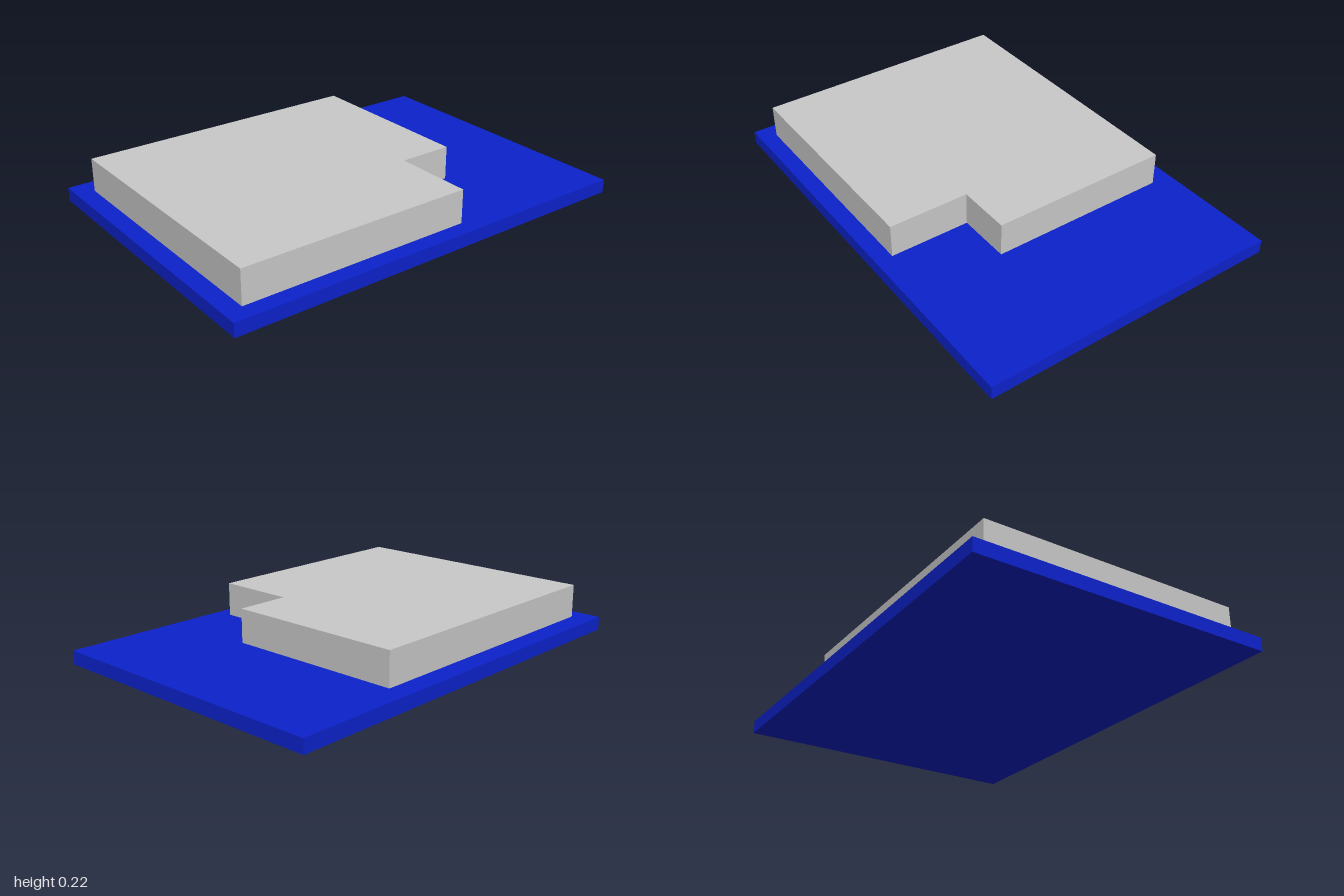
import * as THREE from 'three';

const BOARD_TOP = 0.063;
const BLOCK_TOP = 0.22;

export function createModel() {
  const model = new THREE.Group();
  model.name = 'model';

  const blue = new THREE.MeshStandardMaterial({ color: 0x0c22cc });
  blue.name = 'board blue';
  const grey = new THREE.MeshStandardMaterial({ color: 0xc9c9c9 });
  grey.name = 'block grey';

  // Flat rectangular board
  const board = new THREE.Mesh(new THREE.BoxGeometry(1.41, BOARD_TOP, 2), blue);
  board.name = 'baseBoard';
  board.position.y = BOARD_TOP / 2;
  model.add(board);

  // Block with its back left corner cut out; outline as [x, z]
  const outline = [
    [-0.605, 0.917], [0.627, 0.917], [0.627, -0.175],
    [0.25, -0.175], [0.25, -0.43], [-0.605, -0.43],
  ];
  const shape = new THREE.Shape(outline.map(([x, z]) => new THREE.Vector2(x, -z)));
  const geometry = new THREE.ExtrudeGeometry(shape, {
    depth: BLOCK_TOP - BOARD_TOP,
    bevelEnabled: false,
  });
  geometry.rotateX(-Math.PI / 2);
  const block = new THREE.Mesh(geometry, grey);
  block.name = 'notchedBlock';
  block.position.y = BOARD_TOP;
  model.add(block);

  return model;
}
